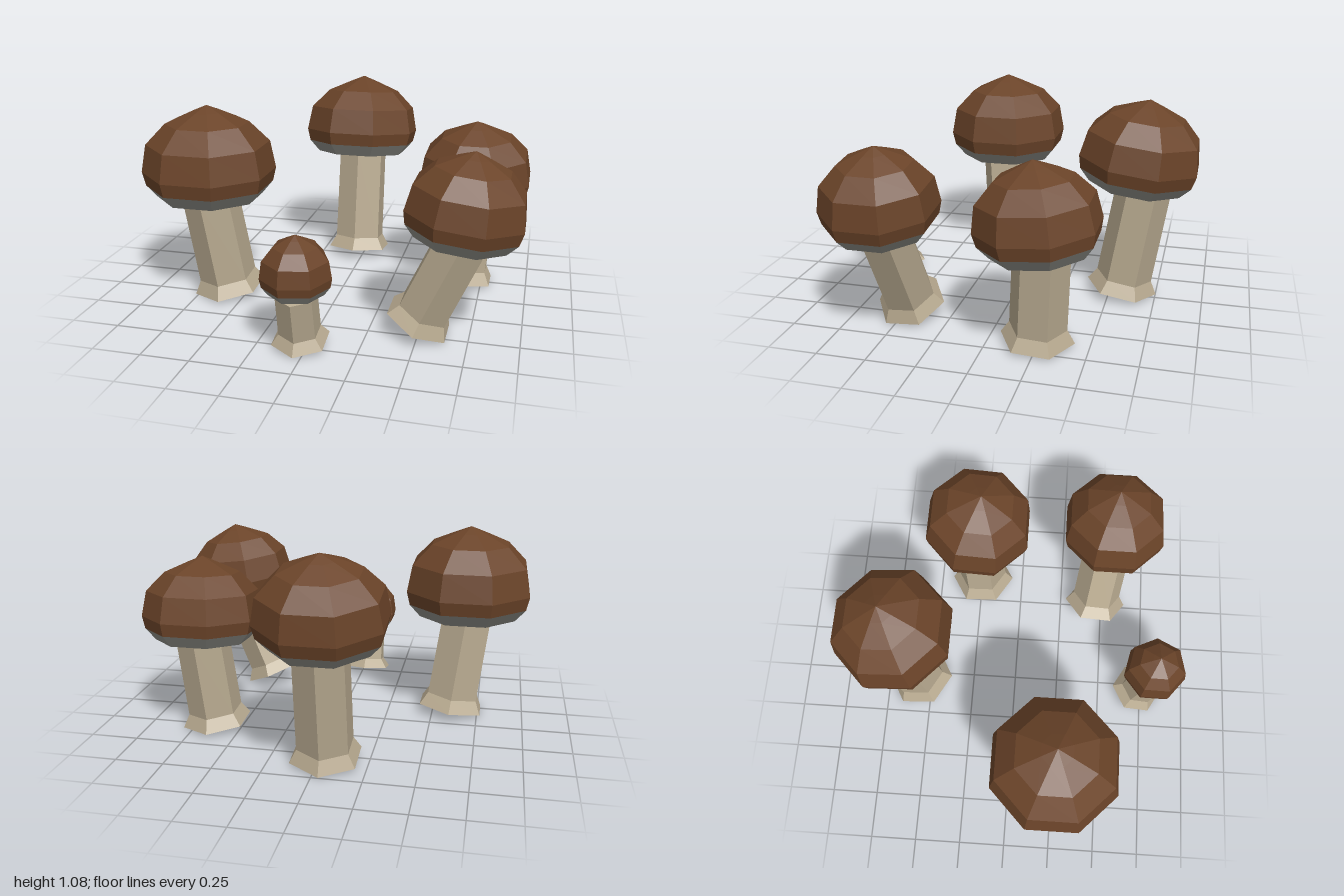
import * as THREE from 'three';

const UP = new THREE.Vector3(0, 1, 0);
const flat = (color) => new THREE.MeshStandardMaterial({ color, flatShading: true });
const brown = flat(0x6b4429);
const grey = flat(0x8f8f88);
const beige = flat(0xb8aa90);

// Profiles as [radius, height] fractions, listed from the bottom up
const CAP = [[0.95, 0.14], [1, 0.29], [0.92, 0.59], [0.62, 0.81], [0.24, 0.93], [0, 1]];
const UNDERSIDE = [[0, 0], [0.78, 0], [0.95, 0.14]];

// Faceted turned part whose axis runs from a foot point along a direction
function turned(name, points, sides, phi, material, foot, dir) {
  const profile = points.map(([r, y]) => new THREE.Vector2(r, y));
  const mesh = new THREE.Mesh(new THREE.LatheGeometry(profile, sides, phi), material);
  mesh.name = name;
  mesh.position.set(...foot);
  mesh.quaternion.setFromUnitVectors(UP, new THREE.Vector3(...dir).normalize());
  return mesh;
}

function mushroom({ name, base, top, flare, neck, cap, lean, r, h, sides = 8 }) {
  const group = new THREE.Group();
  group.name = name;

  // Six-sided stem with a flared foot
  const axis = top.map((v, i) => v - base[i]);
  const length = Math.hypot(...axis);
  const stem = [[0, 0], [flare, 0], [neck * 1.03, flare * 0.36], [neck, length], [0, length]];
  group.add(turned('stem', stem, 6, 0, beige, base, axis));

  // Brown cap over a grey underside
  const phi = sides === 8 ? Math.PI / 8 : Math.PI / 2;
  const scaled = (pts) => pts.map(([a, b]) => [a * r, b * h]);
  const crown = turned('cap', scaled(CAP), sides, phi, brown, cap, lean);
  const under = turned('capUnderside', scaled(UNDERSIDE), sides, phi, grey, cap, lean);
  if (sides === 8) for (const m of [crown, under]) m.scale.z = 0.975;
  group.add(crown, under);
  return group;
}

const MUSHROOMS = [
  { name: 'rightMushroom', base: [-0.6, 0.035, 0.2], top: [-0.672, 0.575, 0.25], flare: 0.195, neck: 0.15,
    cap: [-0.672, 0.57, 0.243], lean: [0, 1, 0], r: 0.354, h: 0.49 },
  { name: 'backMushroom', base: [-0.035, 0.038, -0.565], top: [-0.035, 0.63, -0.662], flare: 0.19, neck: 0.145,
    cap: [-0.035, 0.635, -0.615], lean: [0, 1, -0.13], r: 0.335, h: 0.455 },
  { name: 'backLeftMushroom', base: [0.64, 0.033, -0.245], top: [0.69, 0.515, -0.272], flare: 0.185, neck: 0.14,
    cap: [0.688, 0.505, -0.265], lean: [0, 1, 0.09], r: 0.316, h: 0.44 },
  { name: 'frontLeftMushroom', base: [0.498, 0.078, 0.458], top: [0.705, 0.54, 0.5], flare: 0.18, neck: 0.135,
    cap: [0.695, 0.54, 0.512], lean: [0.12, 1, 0], r: 0.3, h: 0.435 },
  { name: 'smallFrontMushroom', base: [-0.035, 0.043, 0.727], top: [-0.035, 0.305, 0.787], flare: 0.147, neck: 0.103,
    cap: [-0.035, 0.31, 0.78], lean: [0, 1, 0.03], r: 0.174, h: 0.29, sides: 7 },
];

export function createModel() {
  const model = new THREE.Group();
  model.name = 'mushroomRing';
  for (const spec of MUSHROOMS) model.add(mushroom(spec));
  return model;
}
